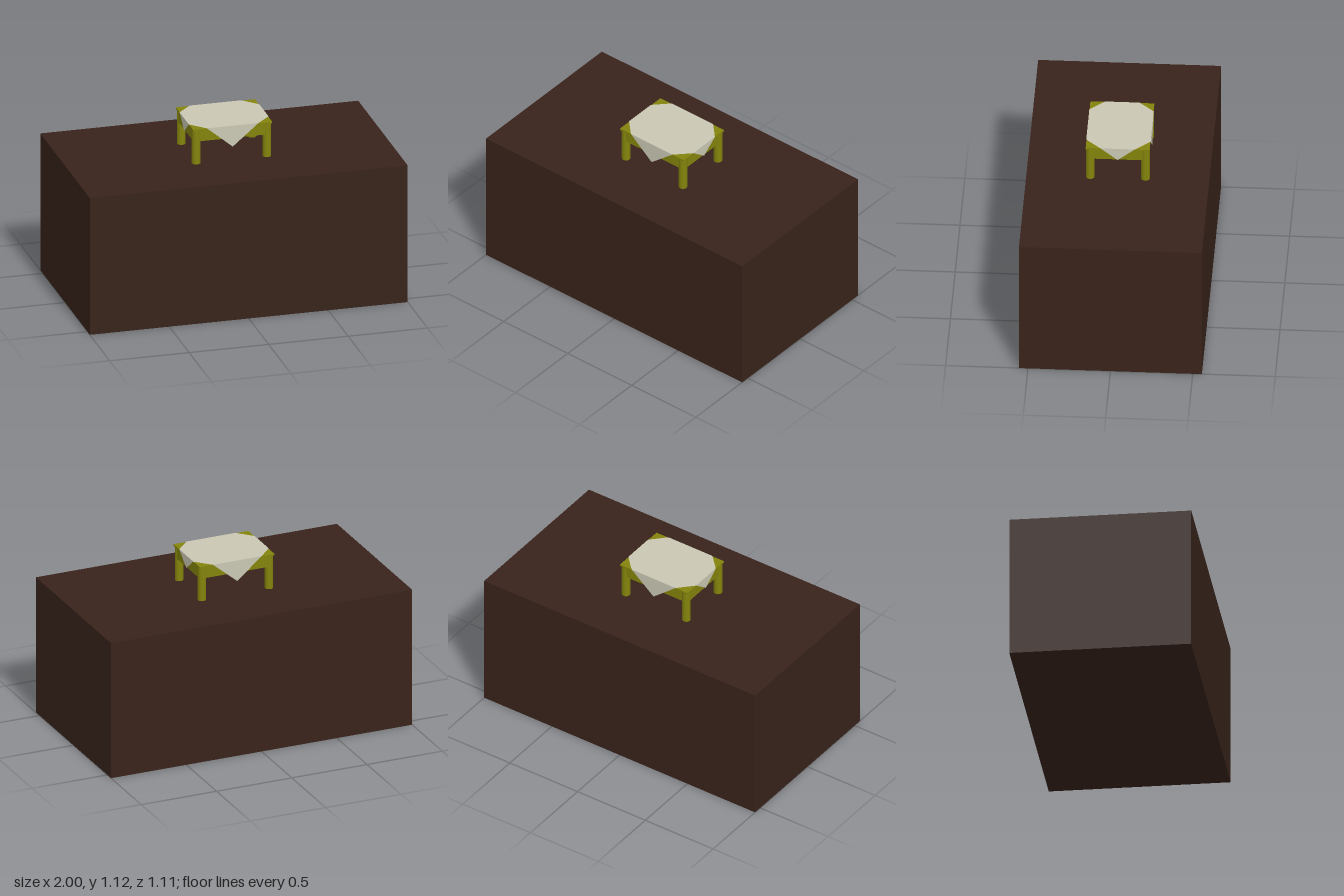
import * as THREE from 'three';

const paint = (color, side = THREE.FrontSide) => new THREE.MeshStandardMaterial({ color, side });

export function createModel() {
  const model = new THREE.Group();
  const brown = paint(0x38231a);
  const olive = paint(0x84840c);
  const linen = paint(0xcac8b4, THREE.DoubleSide);

  const add = (parent, name, geometry, material, x, y, z) => {
    const mesh = new THREE.Mesh(geometry, material);
    mesh.name = name;
    mesh.position.set(x, y, z);
    parent.add(mesh);
    return mesh;
  };

  // Large solid base
  const baseH = 0.89, baseD = 1.11;
  add(model, 'base', new THREE.BoxGeometry(2, baseH, baseD), brown, 0, baseH / 2, 0);

  // Small table: half width, half depth, top height
  const table = new THREE.Group();
  table.name = 'table';
  model.add(table);
  const hx = 0.249, hz = 0.194, top = 1.117, slab = 0.01, under = top - slab;
  add(table, 'tabletop', new THREE.BoxGeometry(2 * hx, slab, 2 * hz), olive, 0, top - slab / 2, 0);

  // Round legs and apron boards, mirrored
  const r = 0.0265, legH = under - baseH;
  const apronBottom = 1.036, apronH = under - apronBottom, apronY = apronBottom + apronH / 2;
  const thick = 0.02, inset = 0.006;
  const leg = new THREE.CylinderGeometry(r, r, legH, 24);
  for (const s of [-1, 1]) {
    for (const t of [-1, 1]) add(table, 'leg', leg, olive, s * (hx - r), baseH + legH / 2, t * (hz - r));
    add(table, 'longApron', new THREE.BoxGeometry(2 * (hx - r), apronH, thick), olive,
      0, apronY, s * (hz - inset - thick / 2));
    add(table, 'shortApron', new THREE.BoxGeometry(thick, apronH, 2 * (hz - r)), olive,
      s * (hx - inset - thick / 2), apronY, 0);
  }

  // Cloth: an octagonal top with a pointed flap hanging on each side
  const cloth = new THREE.Group();
  cloth.name = 'tablecloth';
  model.add(cloth);
  const gap = 0.0015, cx = hx + gap, cz = hz + gap, fx = 0.162, fz = 0.104;
  const polygon = (points) => new THREE.ShapeGeometry(
    new THREE.Shape(points.map(([x, y]) => new THREE.Vector2(x, y))));
  add(cloth, 'clothTop', polygon([
    [cx, -fz], [cx, fz], [fx, cz], [-fx, cz], [-cx, fz], [-cx, -fz], [-fx, -cz], [fx, -cz],
  ]), linen, 0, top + gap, 0).rotation.x = -Math.PI / 2;

  const flap = (half, drop) => polygon([[-half, 0], [0, -drop], [half, 0]]);
  for (let i = 0; i < 4; i++) {
    const a = i * Math.PI / 2;
    const [half, drop, out] = i % 2 ? [fz, 0.082, cx] : [fx, 0.136, cz];
    add(cloth, 'clothFlap', flap(half, drop), linen,
      Math.sin(a) * out, top + gap, Math.cos(a) * out).rotation.y = a;
  }
  return model;
}
